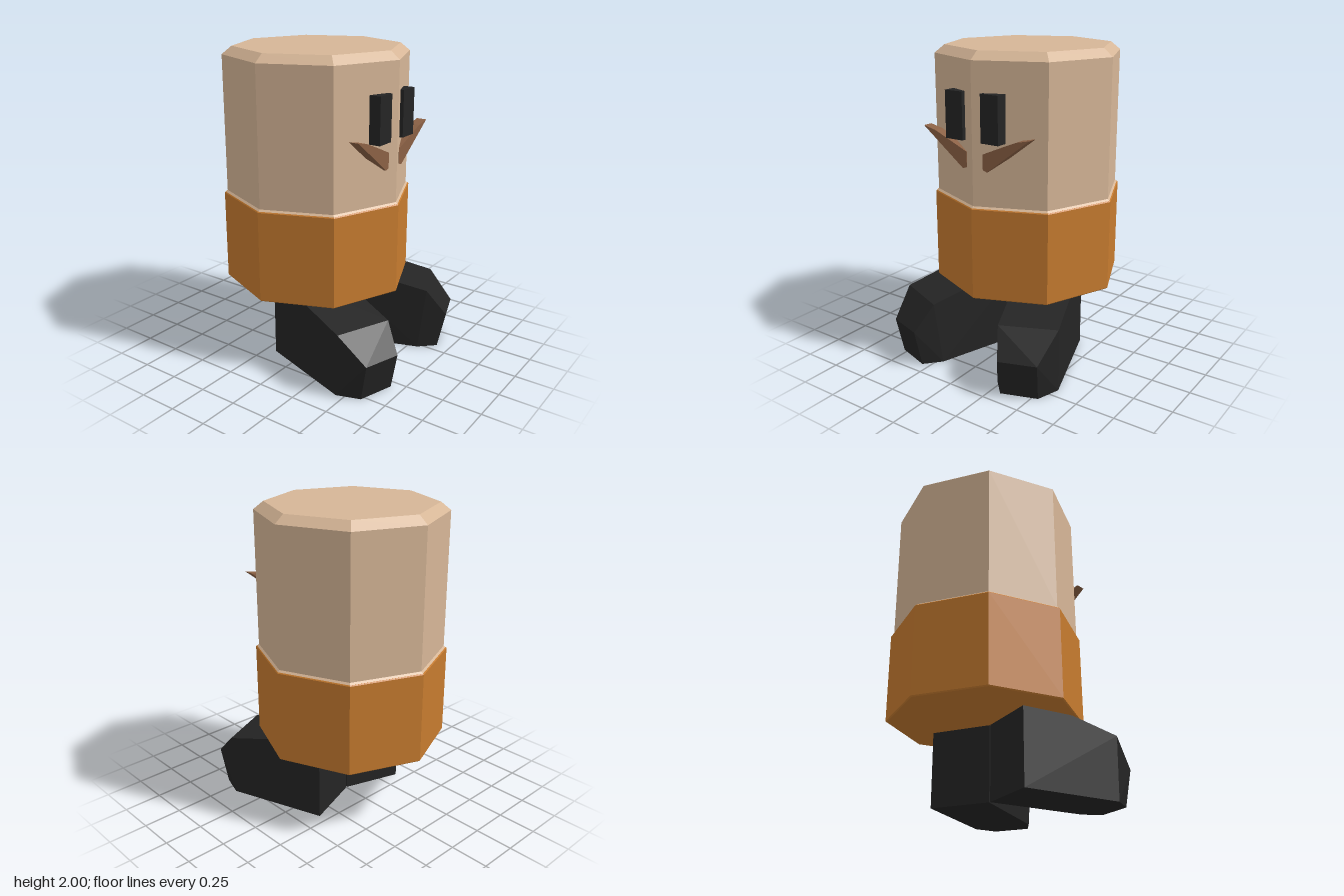
import * as THREE from 'three';
import { ConvexGeometry } from 'three/addons/geometries/ConvexGeometry.js';

const paint = (name, color) => {
  const m = new THREE.MeshStandardMaterial({ color });
  m.name = name;
  return m;
};

// Gives every face its own flat normal.
function faceted(geometry) {
  const g = geometry.index ? geometry.toNonIndexed() : geometry;
  g.computeVertexNormals();
  return g;
}

// Eight-sided turned solid from [radius, y] pairs, bottom to top.
const turned = (profile) =>
  faceted(new THREE.LatheGeometry(profile.map(([r, y]) => new THREE.Vector2(r, y)), 8));

// Chunky boot: [across, y, forward] corners, turned outward and mirrored by side.
function bootGeometry(side, inset, degrees) {
  const a = THREE.MathUtils.degToRad(degrees);
  const corners = [
    [0, 0, 0], [0.39, 0, 0], [0, 0.56, 0], [0.39, 0.56, 0],                     // heel
    [0, 0, 0.66], [0.385, 0, 0.66], [0.02, 0.41, 0.705], [0.385, 0.41, 0.675],  // instep
    [0.055, 0, 0.785], [0.29, 0, 0.785], [0.053, 0.24, 0.836], [0.295, 0.24, 0.836], // toe
  ];
  return faceted(new ConvexGeometry(corners.map(([u, y, f]) => new THREE.Vector3(
    side * (inset + u * Math.cos(a) + f * Math.sin(a)),
    y,
    -0.06 - u * Math.sin(a) + f * Math.cos(a),
  ))));
}

// One half of the moustache, curving up to a pointed tip.
function moustacheGeometry(side) {
  const outline = [[0.06, 1.405], [0.06, 1.31], [0.09, 1.3], [0.39, 1.527], [0.3, 1.507], [0.2, 1.465]];
  const shape = new THREE.Shape(outline.map(([x, y]) => new THREE.Vector2(side * x, y)));
  return new THREE.ExtrudeGeometry(shape, { depth: 0.067, bevelEnabled: false }).translate(0, 0, 0.403);
}

export function createModel() {
  const skin = paint('tan skin', 0xd6b697);
  const cloth = paint('orange cloth', 0xc67b2f);
  const black = paint('black', 0x242424);
  const hair = paint('brown hair', 0x8b6145);

  const model = new THREE.Group();
  model.name = 'character';
  const add = (name, geometry, material) => {
    const mesh = new THREE.Mesh(geometry, material);
    mesh.name = name;
    model.add(mesh);
    return mesh;
  };

  // Head and lower body share an axis set slightly back
  add('head', turned([[0, 1.07], [0.605, 1.07], [0.592, 1.082], [0.592, 1.95], [0.53, 2], [0, 2]]), skin)
    .position.z = -0.1;
  add('lowerBody', turned([[0, 0.483], [0.604, 0.483], [0.611, 0.49], [0.611, 1.065], [0.606, 1.071], [0, 1.071]]), cloth)
    .position.z = -0.1;

  // Face and boots
  for (const [label, side] of [['left', 1], ['right', -1]]) {
    add(`${label}Eye`, new THREE.BoxGeometry(0.126, 0.29, 0.075), black)
      .position.set(side * 0.13 - 0.005, 1.62, 0.4525);
    add(`${label}Moustache`, moustacheGeometry(side), hair);
    add(`${label}Boot`, side > 0 ? bootGeometry(1, 0, 19.6) : bootGeometry(-1, 0.008, 18), black);
  }
  return model;
}
